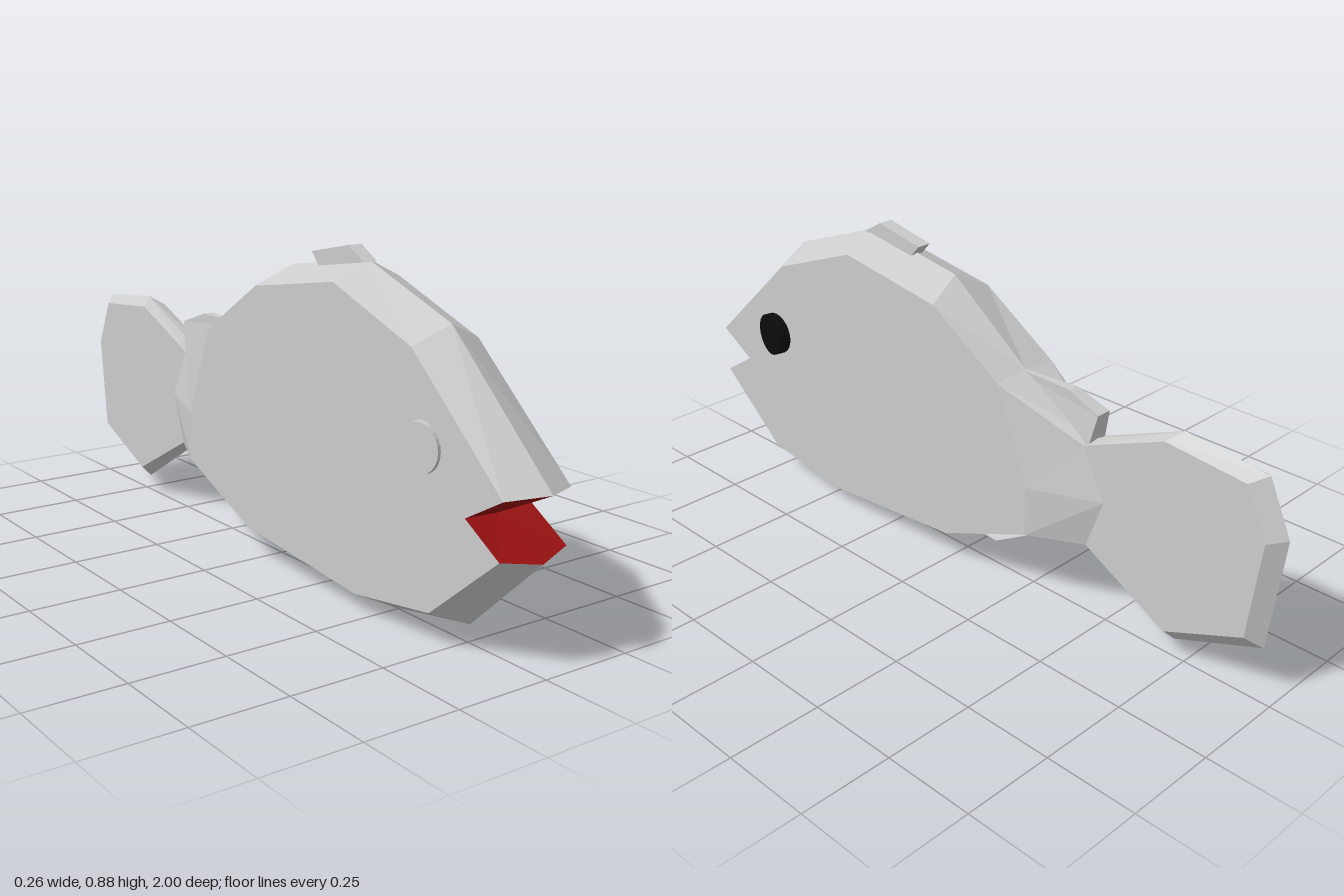
import * as THREE from 'three';

const grey = new THREE.MeshStandardMaterial({ color: 0xcccccc, flatShading: true });
const red = new THREE.MeshStandardMaterial({ color: 0x991111, flatShading: true });
const black = new THREE.MeshStandardMaterial({ color: 0x0c0c0c, flatShading: true });

const BODY = 0.1, TAIL = 0.036; // half widths

// Outline, [z, y] on the centre ridge and [z, y, x] on the flat flank,
// from the lower lip along the belly, round the tail and back over the top.
const outline = [
  [[0.98, 0.26], [0.95, 0.275, BODY]],
  [[0.76, 0.05], [0.73, 0.09, BODY]],
  [[0.48, 0.002], [0.46, 0.05, BODY]],
  [[0.23, 0.03], [0.23, 0.07, BODY]],
  [[-0.01, 0.085], [-0.01, 0.092, BODY]],
  [[-0.31, 0.19], [-0.3, 0.212, BODY]],
  [[-0.46, 0.2], [-0.45, 0.22, TAIL]],
  [[-0.715, 0.05], [-0.705, 0.085, TAIL]],
  [[-0.965, 0.15], [-0.93, 0.18, TAIL]],
  [[-1, 0.455], [-0.96, 0.445, TAIL]],
  [[-0.935, 0.595], [-0.9, 0.575, TAIL]],
  [[-0.7, 0.62], [-0.67, 0.595, TAIL]],
  [[-0.44, 0.505], [-0.43, 0.495, TAIL]],
  [[-0.2, 0.615], [-0.2, 0.605, BODY]],
  [[0.05, 0.8], [0.03, 0.75, BODY]],
  [[0.36, 0.85], [0.36, 0.8, BODY]],
  [[0.67, 0.735], [0.65, 0.69, BODY]],
  [[1, 0.418], [0.955, 0.41, BODY]],
  [[0.835, 0.338], [0.84, 0.344, BODY]], // corner of the mouth
];
const ridge = outline.map(([r]) => new THREE.Vector3(0, r[1], r[0]));
const flank = outline.map(([, s]) => new THREE.Vector3(s[2], s[1], s[0]));
// Fold points where the flank narrows into the tail
const foldFront = new THREE.Vector3(BODY, 0.35, -0.3);
const foldBack = new THREE.Vector3(TAIL, 0.36, -0.5);

// Triangulates polygons given for the +x side and mirrors them to -x
function mirroredGeometry(polygons) {
  const pos = [];
  for (const poly of polygons) {
    const flat = poly.map((p) => new THREE.Vector2(-p.z, p.y));
    const tris = poly.length === 4
      ? [[0, 1, 2], [0, 2, 3]]
      : THREE.ShapeUtils.triangulateShape(flat, []);
    for (const [a, b, c] of tris) {
      for (const i of [a, b, c]) pos.push(poly[i].x, poly[i].y, poly[i].z);
      for (const i of [a, c, b]) pos.push(-poly[i].x, poly[i].y, poly[i].z);
    }
  }
  const g = new THREE.BufferGeometry();
  g.setAttribute('position', new THREE.Float32BufferAttribute(pos, 3));
  g.computeVertexNormals();
  return g;
}

// Bevel from the ridge to the flank, between outline points i and i + 1
function bevel(i) {
  const j = (i + 1) % outline.length;
  return [ridge[i], ridge[j], flank[j], flank[i]];
}

// Thin fin from a [z, y] profile, with a half width that may vary along z
function fin(name, profile, halfWidth) {
  const shape = new THREE.Shape(profile.map(([z, y]) => new THREE.Vector2(-z, y)));
  const g = new THREE.ExtrudeGeometry(shape, { depth: 2, bevelEnabled: false });
  g.translate(0, 0, -1).rotateY(Math.PI / 2);
  const p = g.attributes.position;
  for (let i = 0; i < p.count; i++) p.setX(i, p.getX(i) * halfWidth(p.getZ(i), p.getY(i)));
  g.computeVertexNormals();
  const mesh = new THREE.Mesh(g, grey);
  mesh.name = name;
  return mesh;
}

export function createModel() {
  const model = new THREE.Group();
  model.name = 'fish';
  const add = (name, geometry, material) => {
    const mesh = new THREE.Mesh(geometry, material);
    mesh.name = name;
    mesh.position.x = -0.004;
    model.add(mesh);
    return mesh;
  };
  const last = outline.length - 1;
  const bevels = (from, to) => Array.from({ length: to - from }, (_, k) => bevel(from + k));

  // Body: flat flanks, bevelled rim and the narrowing towards the tail
  add('body', mirroredGeometry([
    [...flank.slice(0, 6), foldFront, ...flank.slice(13)],
    [flank[5], flank[6], foldBack, foldFront],
    [foldFront, foldBack, flank[12], flank[13]],
    ...bevels(0, 6), ...bevels(12, last - 1),
  ]), grey);

  // Tail fin
  add('tailFin', mirroredGeometry([
    [...flank.slice(6, 13), foldBack],
    ...bevels(6, 12),
  ]), grey);

  // Inside of the open mouth
  add('mouth', mirroredGeometry([bevel(last - 1), bevel(last)]), red);

  // Fins on the back and belly
  const front = fin('frontDorsalFin',
    [[0.38, 0.842], [0.2, 0.815], [0.17, 0.848], [0.32, 0.878]], () => 0.02);
  front.position.x = -0.008;
  const rear = fin('rearDorsalFin',
    [[-0.19, 0.6], [-0.44, 0.49], [-0.46, 0.58], [-0.36, 0.615], [-0.2, 0.612]],
    (z, y) => 0.004 + 0.11 * (-0.19 - z) * (y > 0.55 ? 0.6 : 1));
  const belly = fin('bellyFin',
    [[0, 0.088], [-0.14, 0.097], [-0.31, 0.188], [-0.3, 0.21], [-0.01, 0.11]],
    (z) => 0.012 + 0.025 * Math.max(0, 1 - Math.abs(z + 0.14) / 0.17));
  rear.position.x = belly.position.x = -0.004;
  model.add(front, rear, belly);

  // Eyes: short discs turned slightly forward
  for (const side of [1, -1]) {
    const g = new THREE.CylinderGeometry(0.061, 0.061, 0.04, 24);
    g.rotateZ(-side * Math.PI / 2).rotateY(-side * 0.17);
    const eye = add(side > 0 ? 'leftEye' : 'rightEye', g, side > 0 ? black : grey);
    eye.position.set(side * 0.102 - 0.002, 0.472, 0.695);
  }
  return model;
}
